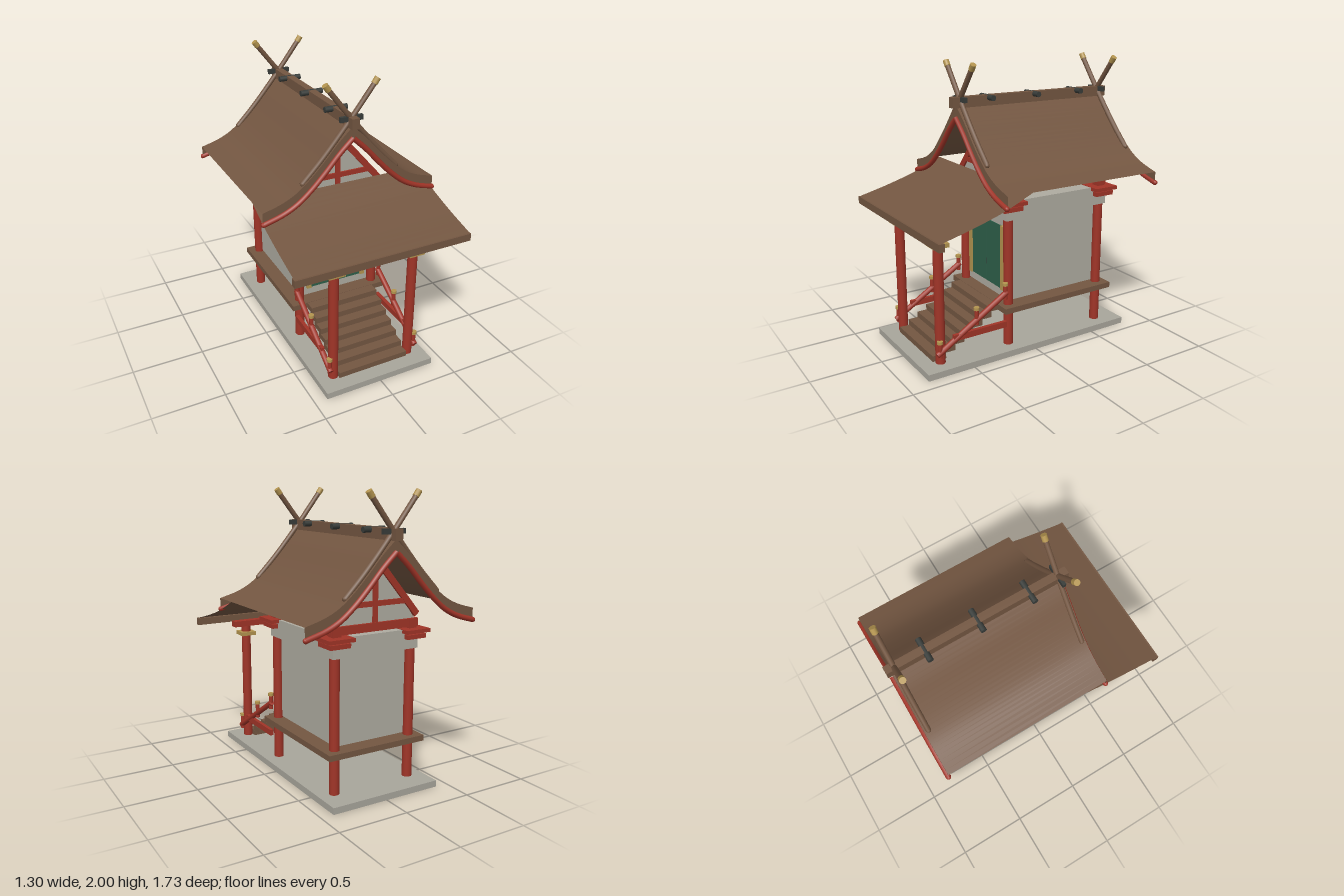
import * as THREE from 'three';

const mat = (name, color) => Object.assign(new THREE.MeshStandardMaterial({ color }), { name });

export function createModel() {
  const root = new THREE.Group();
  root.name = 'shrine';
  const red = mat('vermilion', 0xa03427);
  const brown = mat('bark brown', 0x735641);
  const roofBrown = mat('roof brown', 0x735641);
  roofBrown.side = THREE.DoubleSide;
  const plaster = mat('plaster', 0xaeaba0);
  const stone = mat('stone', 0xa8a59b);
  const green = mat('door green', 0x2e5f4a);
  const gold = mat('brass', 0xb3944f);
  const dark = mat('dark metal', 0x383c39);

  const add = (name, geo, m, x = 0, y = 0, z = 0) => {
    const mesh = new THREE.Mesh(geo, m);
    mesh.name = name;
    mesh.position.set(x, y, z);
    root.add(mesh);
    return mesh;
  };
  // box from its min and max corners
  const box = (name, m, x0, x1, y0, y1, z0, z1) =>
    add(name, new THREE.BoxGeometry(x1 - x0, y1 - y0, z1 - z0), m, (x0 + x1) / 2, (y0 + y1) / 2, (z0 + z1) / 2);
  // upright cylinder
  const post = (name, m, r, x, z, y0, y1) =>
    add(name, new THREE.CylinderGeometry(r, r, y1 - y0, 16), m, x, (y0 + y1) / 2, z);
  // straight rod or bar between two points
  const rod = (name, m, a, b, r, square = false) => {
    const p = new THREE.Vector3(...a), q = new THREE.Vector3(...b), d = q.clone().sub(p), h = d.length();
    const geo = square ? new THREE.BoxGeometry(r * 2, h, r * 2) : new THREE.CylinderGeometry(r, r, h, 12);
    const mesh = add(name, geo, m);
    mesh.position.copy(p).add(q).multiplyScalar(0.5);
    mesh.quaternion.setFromUnitVectors(new THREE.Vector3(0, 1, 0), d.normalize());
    return mesh;
  };
  // smooth open sheet swept between two offsets along a direction
  const sheet = (name, m, pts, offA, offB) => {
    const pos = [], idx = [];
    pts.forEach((p, i) => {
      pos.push(p.x + offA[0], p.y + offA[1], p.z + offA[2], p.x + offB[0], p.y + offB[1], p.z + offB[2]);
      if (i) { const k = i * 2; idx.push(k - 2, k - 1, k, k, k - 1, k + 1); }
    });
    const g = new THREE.BufferGeometry();
    g.setAttribute('position', new THREE.Float32BufferAttribute(pos, 3));
    g.setIndex(idx);
    g.computeVertexNormals();
    return add(name, g, m);
  };
  const curve = (list) => new THREE.CatmullRomCurve3(list.map((p) => new THREE.Vector3(...p)));

  // Base, deck and walls
  box('base', stone, -0.41, 0.41, 0, 0.045, -0.79, 0.845);
  box('deck', brown, -0.375, 0.375, 0.305, 0.345, -0.685, 0.235);
  box('walls', plaster, -0.28, 0.28, 0.358, 0.96, -0.595, 0.152);
  box('wallBand', plaster, -0.33, 0.33, 0.955, 1.088, -0.65, 0.2);

  // Doors with brass jambs
  for (const s of [-1, 1]) {
    add('door', new THREE.BoxGeometry(0.191, 0.465, 0.008), green, s * 0.1, 0.652, 0.158);
    add('doorJamb', new THREE.BoxGeometry(0.035, 0.47, 0.02), gold, s * 0.217, 0.652, 0.162);
  }
  box('doorGap', dark, -0.005, 0.005, 0.42, 0.885, 0.152, 0.157);

  // Main pillars, corner brackets and gable trusses
  for (const z of [0.165, -0.61]) {
    for (const s of [-1, 1]) {
      const x = s * 0.295;
      post('pillar', red, 0.034, x, z, 0.045, 0.96);
      for (const [w, d, y, h] of [[0.15, 0.15, 1.04, 0.03], [0.07, 0.07, 1.06, 0.02], [0.19, 0.19, 1.078, 0.025]])
        add('bracket', new THREE.BoxGeometry(w, h, d), red, x, y, z);
      add('bracketBlock', new THREE.BoxGeometry(0.06, 0.07, 0.06), red, x, 1.12, z);
      rod('gableRafter', red, [s * 0.335, 1.18, z], [0, 1.57, z], 0.022, true);
    }
    box('tieBeam', red, -0.34, 0.34, 1.1, 1.155, z - 0.026, z + 0.026);
    box('collarBeam', red, -0.25, 0.25, 1.26, 1.295, z - 0.02, z + 0.02);
    box('kingPost', red, -0.017, 0.017, 1.155, 1.51, z - 0.022, z + 0.022);
    const tri = new THREE.Shape([[-0.32, 1.155], [0.32, 1.155], [0, 1.59]].map((p) => new THREE.Vector2(...p)));
    add('gablePanel', new THREE.ExtrudeGeometry(tri, { depth: 0.014, bevelEnabled: false }), plaster, 0, 0, z - 0.007);
  }

  // Main roof: curved slopes, rim plates and red bargeboards at both ends
  const half = [[0, 1.7, 0], [0.1, 1.605, 0], [0.2, 1.495, 0], [0.3, 1.395, 0], [0.4, 1.315, 0], [0.5, 1.265, 0], [0.635, 1.225, 0]];
  const zFront = 0.385, zBack = -0.835;
  for (const s of [-1, 1]) {
    const pts = curve(half.map(([x, y, z]) => [s * x, y, z])).getPoints(24);
    sheet('roofSlope', roofBrown, pts, [0, 0, zBack], [0, 0, zFront]);
    for (const z of [zFront, zBack]) {
      sheet('roofRim', roofBrown, pts, [0, 0, z], [0, -0.075, z]);
      const path = new THREE.CatmullRomCurve3(pts.filter((_, i) => i % 4 === 0)
        .map((p) => new THREE.Vector3(p.x * 0.995, p.y - 0.078, z + Math.sign(z) * 0.004)));
      add('bargeboard', new THREE.TubeGeometry(path, 32, 0.018, 8), red);
      const tip = path.getPoint(1);
      add('bargeboardEnd', new THREE.SphereGeometry(0.018, 8, 6), red, tip.x, tip.y, tip.z);
    }
  }

  // Ridge beam with short logs and crossed finials
  box('ridgeBeam', brown, -0.027, 0.027, 1.69, 1.762, -0.865, 0.425);
  for (const z of [0.145, -0.225, -0.595])
    rod('ridgeLog', dark, [-0.082, 1.745, z], [0.082, 1.745, z], 0.02);
  for (const z of [0.358, -0.805]) {
    for (const s of [-1, 1]) {
      const path = curve([[-0.345, 1.36], [-0.2, 1.51], [0, 1.745], [0.165, 1.955]].map(([x, y]) => [s * x, y, z]));
      add('crossedFinial', new THREE.TubeGeometry(path, 24, 0.018, 10), brown);
      add('finialFoot', new THREE.SphereGeometry(0.018, 10, 8), brown, s * -0.345, 1.36, z);
      rod('finialTip', gold, [s * 0.16, 1.949, z], [s * 0.186, 1.985, z], 0.021);
    }
    // dark cross pin at the crossing
    box('crossPin', dark, -0.082, 0.082, 1.728, 1.762, z - 0.012, z + 0.012);
  }

  // Porch canopy
  const canopy = curve([[0, 1.222, 0.2], [0, 1.135, 0.4], [0, 1.065, 0.62], [0, 1.005, 0.85]]).getPoints(16);
  sheet('canopy', roofBrown, canopy, [-0.632, 0, 0], [0.632, 0, 0]);
  box('canopyFascia', brown, -0.635, 0.635, 0.953, 1.005, 0.822, 0.862);
  box('porchBeam', red, -0.4, 0.4, 0.937, 0.98, 0.668, 0.732);

  // Porch pillars, stair rails
  for (const s of [-1, 1]) {
    const x = s * 0.295, rx = s * 0.332;
    post('porchPillar', red, 0.034, x, 0.7, 0.045, 0.94);
    box('porchCapital', gold, x - 0.057, x + 0.057, 0.866, 0.894, 0.643, 0.757);
    rod('stairRail', red, [rx, 0.12, 0.74], [rx, 0.45, 0.2], 0.02);
    box('lowerRail', red, rx - 0.013, rx + 0.013, 0.195, 0.238, 0.205, 0.62);
    for (const [z, y0, y1] of [[0.72, 0.1, 0.2], [0.44, 0.27, 0.375], [0.212, 0.4, 0.5]]) {
      post('railPost', red, 0.015, rx, z, y0, y1);
      post('railCap', gold, 0.02, rx, z, y1, y1 + 0.02);
    }
  }

  // Stairs
  for (let i = 0; i < 7; i++) {
    const y = 0.343 - i * 0.043, z = 0.26 + i * 0.072;
    box('stair', brown, -0.265, 0.265, y - 0.042, y, z - 0.05, z + 0.05);
  }
  return root;
}
